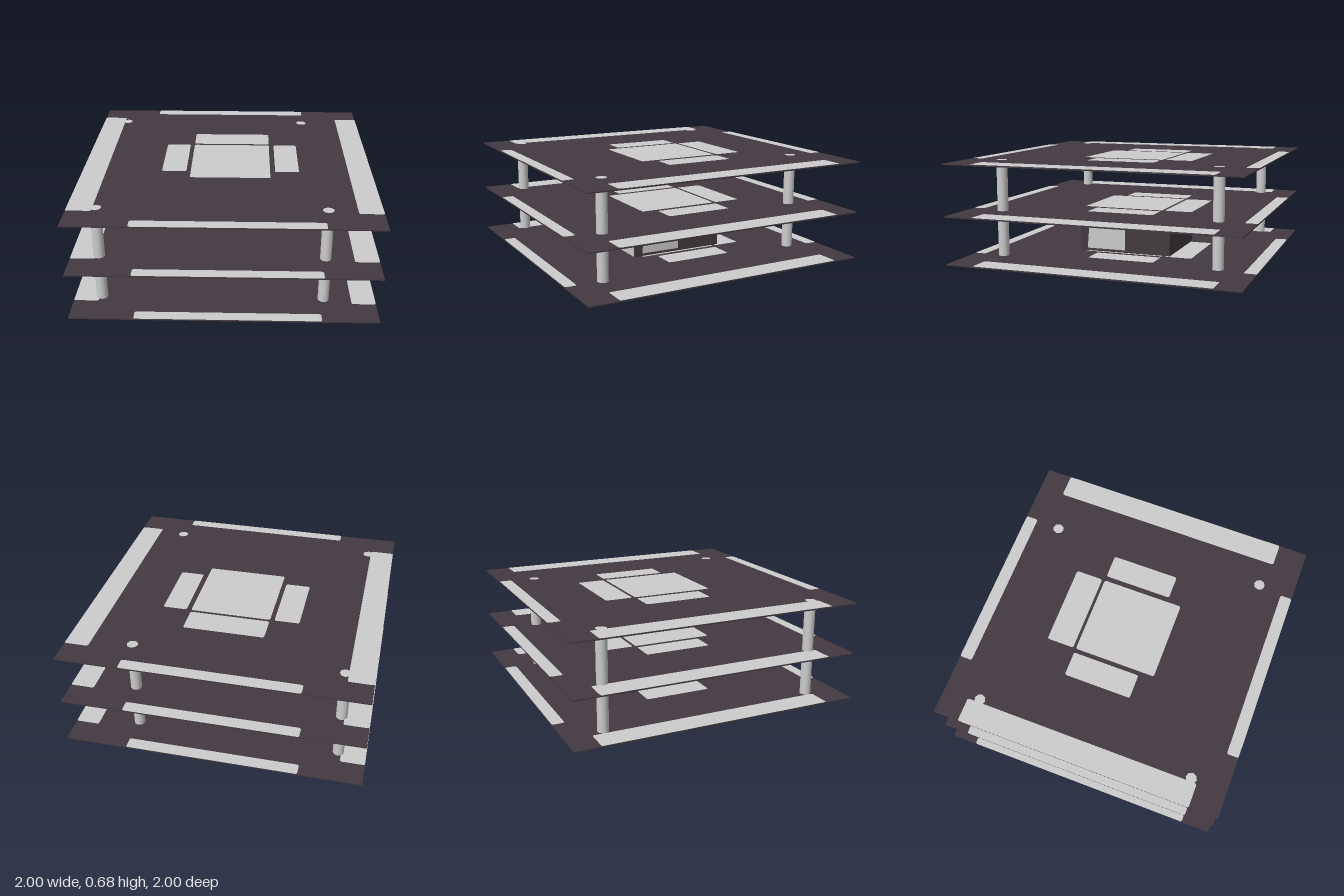
import * as THREE from 'three';

const light = new THREE.MeshStandardMaterial({ name: 'light grey', color: 0xcccccc });
const dark = new THREE.MeshStandardMaterial({ name: 'dark plum', color: 0x433a40 });

// Rounded rectangle given by its x and z limits
function roundedRect(x0, x1, z0, z1, r = 0.015) {
  const s = new THREE.Shape();
  const a = -z1, b = -z0;
  s.moveTo(x0 + r, a).lineTo(x1 - r, a).quadraticCurveTo(x1, a, x1, a + r);
  s.lineTo(x1, b - r).quadraticCurveTo(x1, b, x1 - r, b);
  s.lineTo(x0 + r, b).quadraticCurveTo(x0, b, x0, b - r);
  s.lineTo(x0, a + r).quadraticCurveTo(x0, a, x0 + r, a);
  return s;
}

// Polygon given by [x, z] corners
function polygon(points) {
  return new THREE.Shape(points.map(([x, z]) => new THREE.Vector2(x, -z)));
}

// Flat inlay facing up or down
function addInlay(group, name, shapes, y, up) {
  const geo = new THREE.ShapeGeometry(shapes, 4);
  if (!up) {
    // turn the sheet over without mirroring its outline
    const idx = geo.index.array;
    for (let i = 0; i < idx.length; i += 3) [idx[i], idx[i + 1]] = [idx[i + 1], idx[i]];
    const n = geo.attributes.normal;
    for (let i = 0; i < n.count; i++) n.setXYZ(i, 0, 0, -1);
  }
  geo.rotateX(-Math.PI / 2);
  const mesh = new THREE.Mesh(geo, light);
  mesh.name = name;
  mesh.position.y = y;
  group.add(mesh);
}

function addBox(group, name, size, pos, material) {
  const mesh = new THREE.Mesh(new THREE.BoxGeometry(...size), material);
  mesh.name = name;
  mesh.position.set(...pos);
  group.add(mesh);
}

export function createModel() {
  const model = new THREE.Group();
  model.name = 'tieredPlatform';

  // Edge strips and centre panels shared by every deck
  const pattern = [
    [-0.58, 0.58, -1, -0.915], [-0.58, 0.63, 0.92, 1],
    [-1, -0.835, -0.825, 0.8], [0.84, 1, -0.825, 0.8],
    [-0.25, 0.3, -0.28, 0.29], [-0.25, 0.3, -0.49, -0.3],
    [-0.45, -0.28, -0.28, 0.19], [0.335, 0.5, -0.28, 0.19],
  ].map((p) => roundedRect(...p));

  // Irregular patches under the raised decks
  const middlePatches = [
    polygon([[1, -1], [1, -0.5], [0.84, -1]]),
    polygon([[0.99, 0.99], [0.95, 0.44], [0.757, -0.155], [0.81, 0.13], [0.86, 0.72]]),
    polygon([[-1, -0.85], [-1, -0.6], [-0.9, -0.75]]),
  ];
  const topPatches = [
    polygon([[-1, -1], [-0.52, -1], [-0.52, -0.5], [-1, -0.5]]),
    polygon([[0.6, 0.68], [1, 0.7], [1, 1], [0.6, 1]]),
  ];

  // Three square decks
  const decks = [
    ['bottomDeck', 0.006, pattern],
    ['middleDeck', 0.329, middlePatches],
    ['topDeck', 0.678, topPatches],
  ];
  for (const [name, y, under] of decks) {
    const deck = new THREE.Group();
    deck.name = name;
    deck.position.y = y;
    addBox(deck, 'plate', [2, 0.008, 2], [0, 0, 0], dark);
    addInlay(deck, 'upperPanels', pattern, 0.006, true);
    addInlay(deck, 'lowerPanels', under, -0.006, false);
    model.add(deck);
  }

  // Support posts with a round inlay above each
  const posts = [[-0.815, -0.745], [-0.815, 0.755], [0.565, -0.745], [0.655, 0.755]];
  for (const [x, z] of posts) {
    const post = new THREE.Mesh(new THREE.CylinderGeometry(0.037, 0.037, 0.654, 24), light);
    post.name = 'post';
    post.position.set(x, 0.347, z);
    model.add(post);
    const spot = new THREE.Shape().absarc(x, -z, 0.038, 0, Math.PI * 2);
    addInlay(model, 'postCap', spot, 0.6845, true);
  }

  // Central block between the two lower decks
  addBox(model, 'core', [0.56, 0.315, 0.67], [0, 0.1675, 0.005], dark);
  addBox(model, 'coreFront', [0.545, 0.315, 0.004], [-0.007, 0.1675, 0.341], light);

  // Side panels on the right of the block
  const side = [
    [[0, 0.03], [0.285, 0.03], [0.265, 0.295], [0, 0.3]],
    [[0, 0.307], [0.17, 0.307], [0.17, 0.322], [0, 0.322]],
  ].map((pts) => new THREE.Shape(pts.map(([z, y]) => new THREE.Vector2(-z, y))));
  const sidePanels = new THREE.Mesh(new THREE.ShapeGeometry(side), light);
  sidePanels.name = 'coreSidePanels';
  sidePanels.rotation.y = Math.PI / 2;
  sidePanels.position.x = 0.283;
  model.add(sidePanels);

  return model;
}
